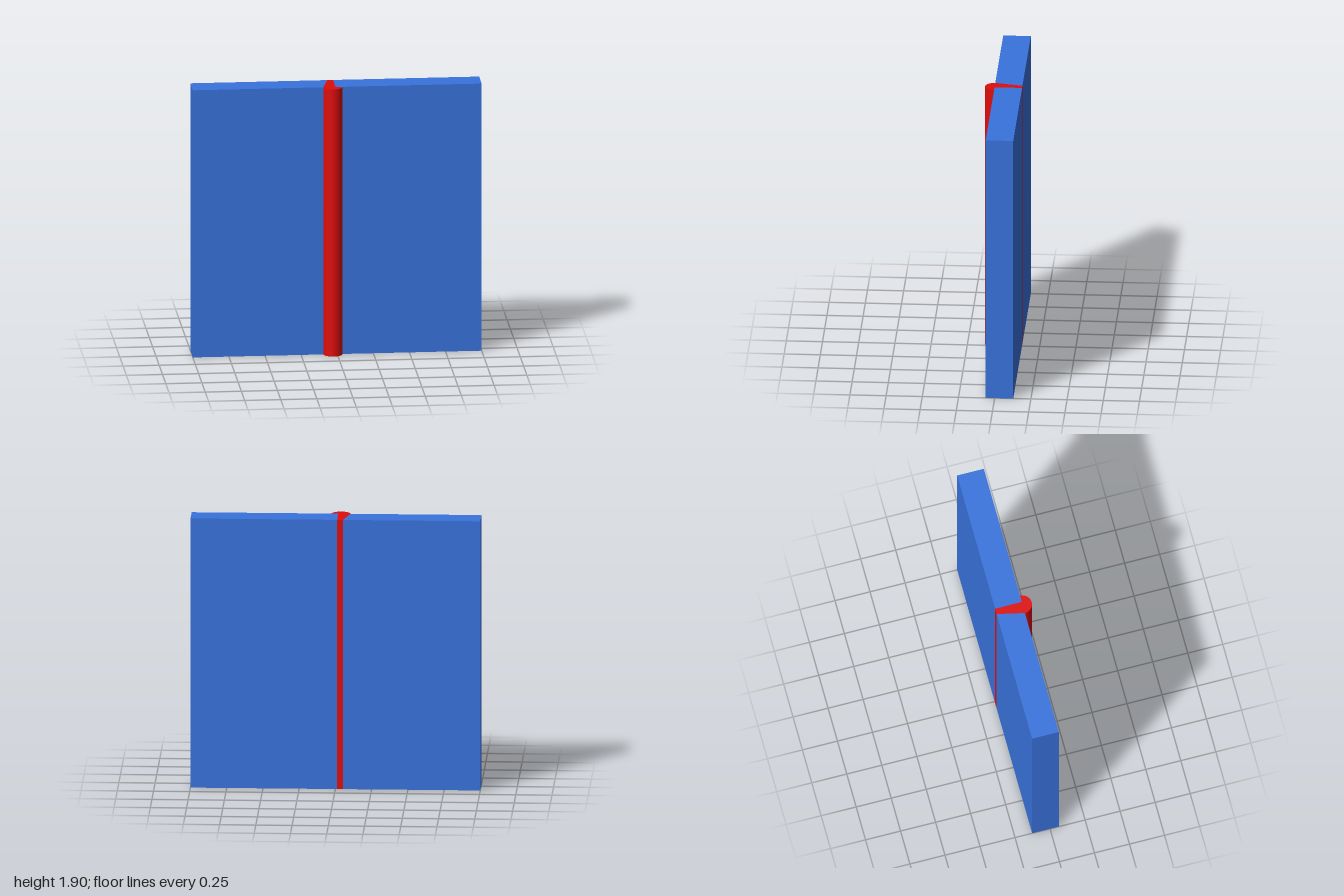
import * as THREE from 'three';
import { toCreasedNormals } from 'three/addons/utils/BufferGeometryUtils.js';

const HEIGHT = 1.905;
const BACK = -0.128, FACE = 0.0625;      // back and front planes of the plates
const BEAD_X = -0.03, BEAD_R = 0.0655;   // rounded cap of the weld
const ROOT_LEFT = -0.053, ROOT_RIGHT = -0.012; // groove edges at the back

// Stands a plan outline (x, -z) upright as a prism
function prism(name, shape, color) {
  const extruded = new THREE.ExtrudeGeometry(shape, { depth: HEIGHT, bevelEnabled: false, curveSegments: 32 });
  extruded.rotateX(-Math.PI / 2);
  const mesh = new THREE.Mesh(toCreasedNormals(extruded, 0.5), new THREE.MeshStandardMaterial({ color }));
  mesh.name = name;
  return mesh;
}

const outline = (points) => new THREE.Shape(points.map(([x, z]) => new THREE.Vector2(x, -z)));

export function createModel() {
  const model = new THREE.Group();
  model.name = 'weldedPlates';

  // Plate with a bevelled edge towards the joint
  const bevelled = outline([[-1, FACE], [BEAD_X - BEAD_R, FACE], [ROOT_LEFT, BACK], [-1, BACK]]);
  model.add(prism('bevelledPlate', bevelled, 0x3973de));

  // Plate with a square edge
  const square = outline([[ROOT_RIGHT, FACE], [1, FACE], [1, BACK], [ROOT_RIGHT, BACK]]);
  model.add(prism('squarePlate', square, 0x3973de));

  // Weld filling the groove, with a half-round cap on the front
  const weld = new THREE.Shape();
  weld.moveTo(BEAD_X - BEAD_R, -FACE);
  weld.absarc(BEAD_X, -FACE, BEAD_R, Math.PI, 2 * Math.PI, false);
  weld.lineTo(ROOT_RIGHT, -FACE);
  weld.lineTo(ROOT_RIGHT, -BACK);
  weld.lineTo(ROOT_LEFT, -BACK);
  weld.closePath();
  model.add(prism('weldBead', weld, 0xe00d0d));

  return model;
}
